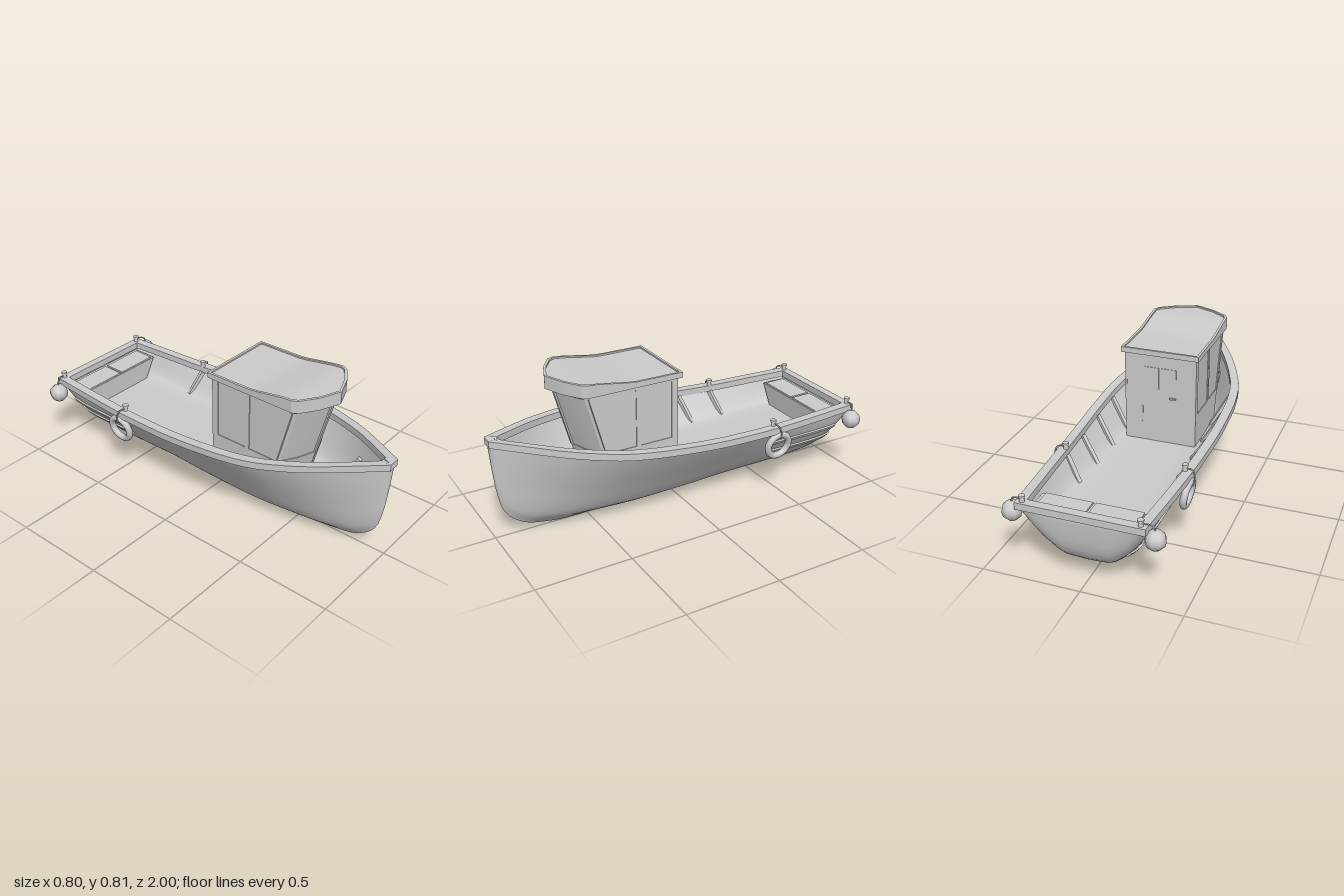
import * as THREE from 'three';
import { toCreasedNormals } from 'three/addons/utils/BufferGeometryUtils.js';

const mat = new THREE.MeshStandardMaterial({ color: 0xcccccc, side: THREE.DoubleSide });
const DECK = 0.24;

// Smooth monotone interpolation through [position, value] knots
function curve(k) {
  const d = k.slice(1).map((p, i) => (p[1] - k[i][1]) / (p[0] - k[i][0]));
  const m = k.map((p, i) => {
    if (i === 0) return d[0];
    if (i === k.length - 1) return d[i - 1];
    return d[i - 1] * d[i] <= 0 ? 0 : (2 * d[i - 1] * d[i]) / (d[i - 1] + d[i]);
  });
  return x => {
    if (x <= k[0][0]) return k[0][1];
    if (x >= k[k.length - 1][0]) return k[k.length - 1][1];
    let i = 0;
    while (x > k[i + 1][0]) i++;
    const h = k[i + 1][0] - k[i][0], t = (x - k[i][0]) / h, t2 = t * t, t3 = t2 * t;
    return (2 * t3 - 3 * t2 + 1) * k[i][1] + (t3 - 2 * t2 + t) * h * m[i] +
      (3 * t2 - 2 * t3) * k[i + 1][1] + (t3 - t2) * h * m[i + 1];
  };
}

// Hull lines: rail half-breadth, rail height, keel height, section shapes
const breadth = curve([[-0.985, 0.315], [-0.6, 0.342], [-0.3, 0.358], [0, 0.367], [0.2, 0.363], [0.4, 0.338],
  [0.55, 0.287], [0.7, 0.217], [0.85, 0.126], [1, 0.03]]);
const sheer = curve([[-0.985, 0.402], [-0.5, 0.4], [-0.2, 0.41], [0, 0.425], [0.2, 0.445], [0.4, 0.465],
  [0.6, 0.49], [0.8, 0.52], [1, 0.55]]);
const keel = curve([[-0.978, 0.35], [-0.97, 0.275], [-0.955, 0.2], [-0.93, 0.148], [-0.9, 0.115], [-0.84, 0.086],
  [-0.75, 0.069], [-0.4, 0.033], [0, 0.012], [0.3, 0.003], [0.6, 0.003], [0.8, 0.03], [0.9, 0.085], [0.95, 0.155],
  [0.98, 0.3], [0.992, 0.46]]);
const sternShape = curve([[0, 0], [0.02, 0.33], [0.15, 0.52], [0.4, 0.74], [0.7, 0.91], [1, 1]]);
const midShape = curve([[0, 0], [0.08, 0.185], [0.15, 0.34], [0.22, 0.41], [0.5, 0.63], [0.72, 0.8], [0.93, 0.955], [1, 1]]);
const bowShape = curve([[0, 0], [0.15, 0.33], [0.5, 0.64], [0.85, 0.91], [1, 1]]);

function hullX(z, y) {
  const k = keel(z), t = THREE.MathUtils.clamp((y - k) / (sheer(z) - 0.02 - k), 0, 1);
  const a = THREE.MathUtils.smoothstep(-z, 0.2, 0.92), b = THREE.MathUtils.smoothstep(z, 0.2, 0.8);
  const f = midShape(t) * (1 - a - b) + sternShape(t) * a + bowShape(t) * b;
  return (breadth(z) - 0.012) * f;
}

// Skin over rows of [x, y, z] points
function loft(rows, { ring = false, loop = false, caps = false, crease = 0.6 } = {}) {
  if (caps) {
    const mid = r => r.map(() => [0, 1, 2].map(c => r.reduce((s, p) => s + p[c], 0) / r.length));
    rows = [mid(rows[0]), ...rows, mid(rows[rows.length - 1])];
  }
  const n = rows[0].length, R = rows.length, idx = [];
  for (let i = 0; i < (loop ? R : R - 1); i++)
    for (let j = 0; j < (ring ? n : n - 1); j++) {
      const a = i * n + j, b = i * n + (j + 1) % n, i2 = ((i + 1) % R) * n, c = i2 + j, d = i2 + (j + 1) % n;
      idx.push(a, b, d, a, d, c);
    }
  const g = new THREE.BufferGeometry();
  g.setAttribute('position', new THREE.Float32BufferAttribute(rows.flat(2), 3));
  g.setIndex(idx);
  return toCreasedNormals(g, crease);
}

const range = (n, a, b) => Array.from({ length: n + 1 }, (_, i) => a + (b - a) * i / n);
const stations = (n, a, b) => range(n, 0, Math.PI).map(t => (a + b) / 2 - (b - a) / 2 * Math.cos(t));
const mirrorRing = half => [...half, ...half.filter(p => p[0] > 1e-6).reverse().map(([x, ...r]) => [-x, ...r])];

export function createModel() {
  const model = new THREE.Group();
  const add = (name, geo, parent = model) => {
    const m = new THREE.Mesh(geo, mat);
    m.name = name;
    parent.add(m);
    return m;
  };
  const box = (name, w, h, d, x, y, z) => add(name, new THREE.BoxGeometry(w, h, d)).position.set(x, y, z);
  const bar = (name, a, b, w, h) => {
    const p = new THREE.Vector3(...a), q = new THREE.Vector3(...b);
    const m = add(name, new THREE.BoxGeometry(w, h, p.distanceTo(q)));
    m.position.copy(p).lerp(q, 0.5);
    m.lookAt(q);
  };
  const rope = (name, pts) => add(name, new THREE.TubeGeometry(
    new THREE.CatmullRomCurve3(pts.map(p => new THREE.Vector3(...p))), 12, 0.004, 6));

  // Hull skin, closed at transom and stem
  const hullRows = stations(56, -0.978, 0.992).map(z => range(40, -1, 1).map(v => {
    const k = keel(z), y = k + (sheer(z) - 0.02 - k) * v * v;
    return [Math.sign(v) * hullX(z, y), y, z];
  }));
  const flat = r => r.map(([, y, z]) => [0, y, z]);
  add('hull', loft([flat(hullRows[0]), ...hullRows, flat(hullRows[hullRows.length - 1])], { crease: 0.7 }));

  // Deck and inner bulwark in one smooth skin: [height, inset from the hull]
  add('deckAndBulwark', loft(stations(44, -0.95, 0.95).map(z => {
    const section = [[sheer(z) - 0.025, 0.016], [0.345, 0.018], [0.3, 0.019], [0.265, 0.021], [0.247, 0.03], [DECK, 0.055], [DECK, 0.12]];
    const side = s => section.map(([y, o]) => [s * Math.max(0, hullX(z, y) - o), y, z]);
    return [...side(1), ...side(-1).reverse()];
  }), { crease: 1.2 }));

  // Gunwale rail all round
  const railHalf = stations(40, -0.985, 1).map(z =>
    [breadth(z), z, Math.max(0.002, breadth(z) - 0.048), THREE.MathUtils.clamp(z, -0.94, 0.945)]);
  const railLoop = [...railHalf.map(p => [1, p]), ...railHalf.slice().reverse().map(p => [-1, p])];
  add('gunwale', loft(railLoop.map(([s, [ox, oz, ix, iz]]) => {
    const y = sheer(oz);
    return [[s * ox, y - 0.036, oz], [s * ox, y, oz], [s * ix, y, iz], [s * ix, y - 0.036, iz]];
  }), { ring: true, loop: true, crease: 0.5 }));

  // Stern locker with two lids
  add('sternLocker', loft([[DECK, 0.2, -0.9], [0.355, 0.266, -0.95]].map(([y, x, z]) =>
    [[-x, y, -0.8], [x, y, -0.8], [x, y, z], [-x, y, z]]), { ring: true, caps: true }));
  for (const s of [-1, 1]) box('lockerLid', 0.238, 0.012, 0.122, s * 0.126, 0.358, -0.864);

  // Inner stem post
  bar('stemPost', [0, DECK, 0.88], [0, 0.5, 0.955], 0.02, 0.03);

  // Cabin plan: [x, z, follows the raked front]
  const plan = [[0.193, 0.072, 0], [0.193, 0.545, 1], [0.178, 0.572, 1], [0.1, 0.617, 1], [0, 0.652, 1]];
  const rake = y => (0.745 - y) * 0.27;
  const wall = (name, y0, y1, out) => add(name, loft([y0, y1].map(y => mirrorRing(plan.map(([x, z, f]) =>
    [x * (1 + out * 5), y, z + (f ? out : -out) - f * rake(y)]))), { ring: true, caps: true, crease: 0.4 }));
  wall('cabinWindows', DECK, 0.745, 0);
  wall('cabinLowerWall', DECK, 0.42, 0.004);
  wall('cabinHeader', 0.725, 0.75, 0.004);
  bar('frontWindowPost', [0, 0.42, 0.652 - rake(0.42)], [0, 0.73, 0.652 - rake(0.73)], 0.02, 0.01);
  for (const s of [-1, 1]) {
    bar('frontCornerPost', [s * 0.189, 0.42, 0.545 - rake(0.42)], [s * 0.189, 0.73, 0.545 - rake(0.73)], 0.016, 0.026);
    for (const [z, d] of [[0.085, 0.036], [0.29, 0.024]]) box('sideWindowPost', 0.01, 0.32, d, s * 0.192, 0.575, z);
  }

  // Aft wall with door panes, hinges and handle
  box('aftWall', 0.39, 0.5, 0.012, 0, 0.49, 0.074);
  for (const s of [-1, 1]) box('doorPane', 0.08, 0.12, 0.004, s * 0.048, 0.61, 0.067);
  for (const y of [0.33, 0.42]) box('doorHinge', 0.008, 0.04, 0.006, 0.1, y, 0.067);
  box('doorHandle', 0.035, 0.008, 0.014, -0.07, 0.505, 0.064);

  // Roof rising to the front, with a raised rim around a recessed top
  const roofTop = curve([[0.05, 0.77], [0.3, 0.772], [0.45, 0.793], [0.55, 0.806], [0.69, 0.808]]);
  const roofPlan = [...range(10, 0.05, 0.56).map(z => [0.213, z]), [0.198, 0.588], [0.11, 0.647], [0, 0.69]];
  const roofRow = (inset, yf) => roofPlan.map(([x, z]) =>
    [x * (1 - inset / 0.213), yf(z), 0.37 + (z - 0.37) * (1 - inset / 0.32)]);
  const rimRows = [roofRow(0, () => 0.741), roofRow(0, roofTop), roofRow(0.013, roofTop), roofRow(0.013, z => roofTop(z) - 0.008)];
  add('roofRim', loft(rimRows.map(mirrorRing), { ring: true, crease: 0.4 }));
  for (const [name, row] of [['roofTop', rimRows[3]], ['roofUnderside', rimRows[0]]])
    add(name, loft(row.map(([x, y, z]) => [[-x, y, z], [x, y, z]])));

  for (const s of [-1, 1]) {
    // Frames inside the bulwark: [foot z, head z, head y, inset]
    const frames = [-0.455, -0.25, -0.04, 0.16, 0.36].map(z => [z - 0.025, z + 0.01, sheer(z) - 0.035, 0.024]);
    for (const [z0, z1, y, inset] of [...frames, [0.67, 0.75, 0.39, 0.032]])
      bar('hullFrame', [s * (hullX(z0, DECK) - inset), DECK, z0], [s * (hullX(z1, y) - inset), y, z1], 0.022, 0.022);

    // Rubbing strakes aft, lying square to the hull side
    for (const [y0, y1, za, zb] of [[0.19, 0.212, -0.49, -0.91], [0.27, 0.288, -0.45, -0.9]])
      add('rubbingStrake', loft(range(14, za, zb).map(z =>
        [[y0, -0.006], [y0, 0.009], [y1, 0.009], [y1, -0.006]].map(([y, o]) =>
          [s * (hullX(z, y) + o * 0.8), y - o * 0.6, z])), { ring: true, caps: true }));

    // Mooring posts
    for (const [x, z] of [[0.285, -0.962], [0.312, -0.445]]) {
      add('mooringPost', new THREE.CylinderGeometry(0.011, 0.013, 0.034, 12)).position.set(s * x, 0.415, z);
      add('mooringPostCap', new THREE.CylinderGeometry(0.016, 0.016, 0.01, 12)).position.set(s * x, 0.429, z);
    }

    // Ball fender and its rope
    add('ballFender', new THREE.SphereGeometry(0.051, 8, 6)).position.set(s * 0.348, 0.334, -0.947);
    rope('ballRope', [[s * 0.285, 0.414, -0.962], [s * 0.322, 0.413, -0.957], [s * 0.342, 0.4, -0.95], [s * 0.348, 0.37, -0.947]]);

    // Ring fender leaning on the hull side
    const ring = new THREE.Group();
    ring.name = 'ringFender';
    ring.position.set(s * 0.335, 0.291, -0.467);
    ring.rotation.z = -s * 0.15;
    add('ring', new THREE.TorusGeometry(0.064, 0.018, 10, 28), ring).rotation.y = Math.PI / 2;
    model.add(ring);
    rope('ringRope', [[s * 0.312, 0.414, -0.445], [s * 0.352, 0.411, -0.45], [s * 0.366, 0.38, -0.46], [s * 0.358, 0.335, -0.467]]);
  }
  return model;
}
